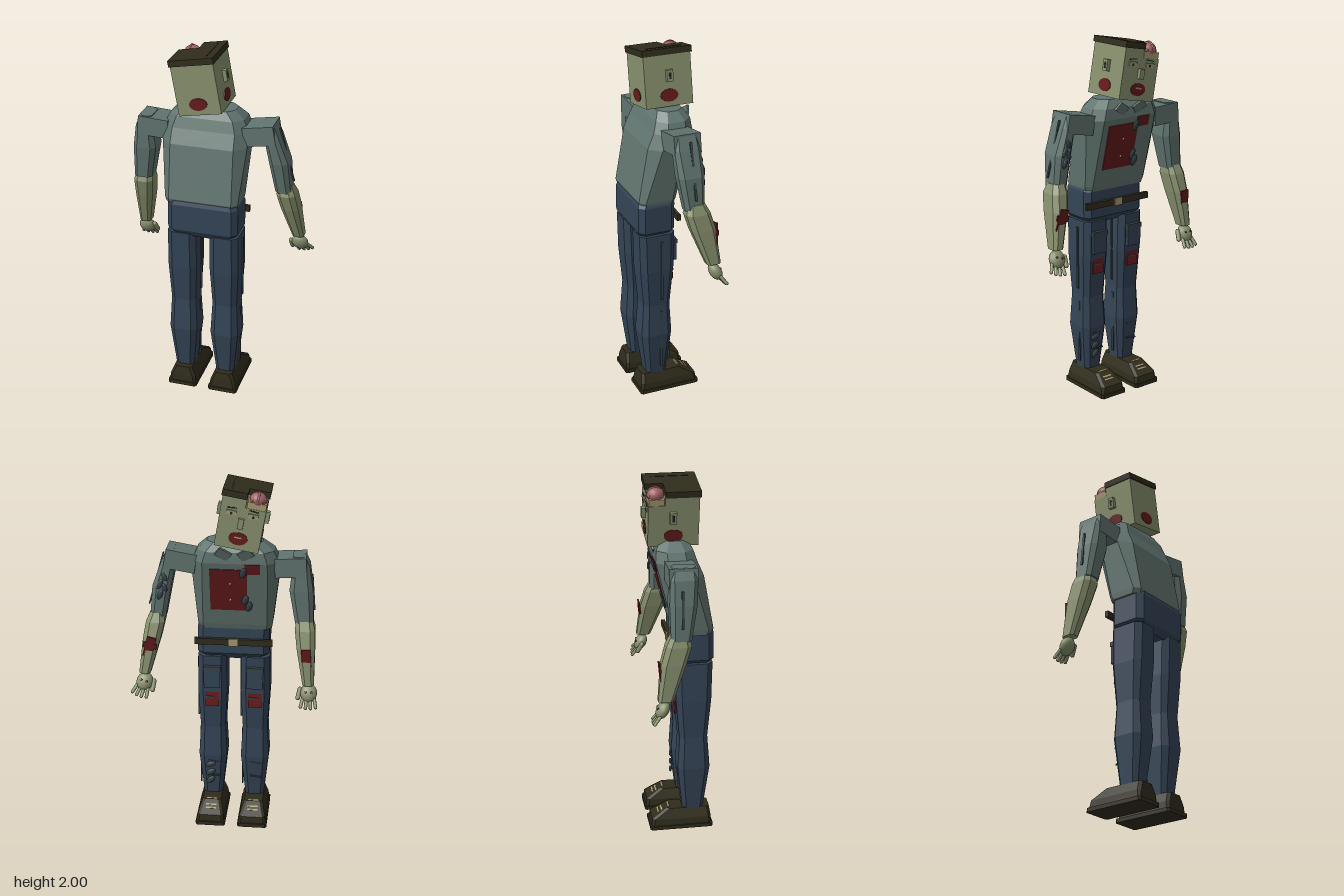
import * as THREE from 'three';

const mat = (name, color) => Object.assign(new THREE.MeshStandardMaterial({ color }), { name });

// Octagonal loft; each ring is [y, x0, x1, z0, z1, chamfer], listed bottom to top
function loft(rings) {
  const loops = rings.map(([y, a, b, c, d, k]) => [
    [b, y, d - k], [b, y, c + k], [b - k, y, c], [a + k, y, c],
    [a, y, c + k], [a, y, d - k], [a + k, y, d], [b - k, y, d]]);
  const pos = [];
  const tri = (...p) => p.forEach(v => pos.push(...v));
  for (let i = 0; i + 1 < loops.length; i++) {
    for (let k = 0; k < 8; k++) {
      const n = (k + 1) % 8, lo = loops[i], hi = loops[i + 1];
      tri(lo[k], lo[n], hi[n]);
      tri(lo[k], hi[n], hi[k]);
    }
  }
  const bottom = loops[0], top = loops[loops.length - 1];
  for (let k = 1; k < 7; k++) {
    tri(top[0], top[k], top[k + 1]);
    tri(bottom[0], bottom[k + 1], bottom[k]);
  }
  const g = new THREE.BufferGeometry();
  g.setAttribute('position', new THREE.Float32BufferAttribute(pos, 3));
  g.computeVertexNormals();
  return g;
}

export function createModel() {
  const model = new THREE.Group();
  model.name = 'undeadFigure';
  const skin = mat('skin', 0x87906d), shirt = mat('shirt', 0x61746f), jeans = mat('jeans', 0x344456);
  const leather = mat('leather', 0x302c1c), wound = mat('wound', 0x651a1c), brain = mat('brain', 0xa06062);
  const bone = mat('bone', 0xa89870), cloth = mat('tornCloth', 0x36434a), dark = mat('dark', 0x20231f);

  const add = (name, geo, m, p = [0, 0, 0], r = [0, 0, 0], parent = model) => {
    const mesh = new THREE.Mesh(geo, m);
    mesh.name = name;
    mesh.position.set(...p);
    mesh.rotation.set(...r);
    parent.add(mesh);
    return mesh;
  };
  const box = (name, m, s, p, r, parent) => add(name, new THREE.BoxGeometry(...s), m, p, r, parent);
  const ball = (name, m, s, p, r, parent) => {
    const b = add(name, new THREE.SphereGeometry(1, 16, 12), m, p, r, parent);
    b.scale.set(...s);
    return b;
  };

  // Torso leaning toward the chest side (-z)
  add('torso', loft([
    [1.17, -.25, .15, -.015, .18, .03], [1.2, -.255, .155, -.025, .19, .03],
    [1.5, -.29, .18, -.10, .135, .06], [1.58, -.288, .178, -.12, .10, .06],
    [1.64, -.26, .15, -.115, .08, .05], [1.685, -.20, .10, -.085, .055, .04]]), shirt);
  const chestZ = y => -.025 - (y - 1.2) * .25;
  box('chestWound', wound, [.2, .26, .008], [-.02, 1.42, chestZ(1.42)], [-.245, 0, 0]);
  box('upperChestWound', wound, [.08, .06, .008], [-.15, 1.55, chestZ(1.55)], [-.245, 0, 0]);
  for (const y of [1.36, 1.46]) ball('button', bone, [.007, .007, .006], [-.03, y, chestZ(y) - .006]);
  for (const [x, y] of [[-.1, 1.53], [-.13, 1.32], [-.11, 1.36]])
    ball('chestTatter', cloth, [.017, .032, .008], [x, y, chestZ(y) - .008], [-.245, 0, .3]);
  for (const s of [-1, 1])
    box('collarFlap', shirt, [.075, .055, .012], [-.055 + s * .06, 1.635, -.125], [-.35, 0, s * .6]);
  add('neck', new THREE.CylinderGeometry(.05, .06, .08, 8), skin, [-.06, 1.68, -.02]);

  // Hips and belt
  add('hips', loft([
    [.98, -.20, .12, .02, .17, .03], [1.02, -.238, .158, -.015, .195, .03],
    [1.17, -.238, .158, -.015, .195, .03], [1.2, -.225, .145, -.005, .185, .03]]), jeans);
  box('belt', leather, [.43, .036, .02], [-.042, 1.095, -.025]);
  box('beltBuckle', bone, [.05, .042, .008], [-.042, 1.095, -.038]);

  // Legs and shoes
  for (const x of [-.162, .078]) {
    add('thigh', loft([
      [.55, x - .07, x + .07, .01, .165, .025], [.78, x - .082, x + .082, -.01, .185, .03],
      [1.0, x - .08, x + .08, -.015, .19, .03]]), jeans);
    add('shin', loft([
      [.1, x - .052, x + .052, .03, .145, .02], [.37, x - .08, x + .08, .0, .18, .03],
      [.57, x - .07, x + .07, .012, .165, .025]]), jeans);
    box('thighSeam', cloth, [.008, .36, .012], [x + .083, .78, .07]);
    box('shinSeam', cloth, [.008, .36, .012], [x + .073, .34, .07]);
    box('pocket', jeans, [.09, .12, .02], [x, .875, -.021]);
    box('pocketFlap', cloth, [.098, .026, .026], [x, .93, -.022]);
    box('thighWound', wound, [.075, .1, .009], [x, .745, -.008], [.08, 0, 0]);
    box('thighTear', cloth, [.05, .01, .009], [x + .01, .75, -.014], [.08, 0, .1]);
    for (const y of [.24, .33]) box('shinTear', cloth, [.07, .008, .008], [x - .01, y, .012 - (y - .2) * .06], [0, 0, .15]);

    const upper = loft([
      [.02, x - .078, x + .078, -.15, .19, .012], [.06, x - .074, x + .074, -.145, .188, .015],
      [.115, x - .052, x + .052, -.06, .18, .015]]);
    add('shoe', upper, leather);
    add('shoeSole', loft([[0, x - .084, x + .084, -.158, .197, .01], [.022, x - .084, x + .084, -.158, .197, .01]]), leather);
    for (let i = 0; i < 4; i++)
      box('shoelace', bone, [.06, .007, .009], [x, .117 - i * .011, -.048 - i * .019], [-.57, 0, 0]);
  }
  for (const y of [.21, .26, .31]) ball('shinTatter', cloth, [.017, .03, .008], [.09, y, .004], [0, 0, y * 4]);

  // Shoulders and upper arms
  box('leftShoulder', shirt, [.17, .105, .15], [.24, 1.57, -.005], [0, 0, .17]);
  box('rightShoulder', shirt, [.17, .105, .15], [-.35, 1.552, -.005], [0, 0, -.06]);
  add('leftSleeve', loft([
    [1.24, .325, .41, -.075, .035, .02], [1.42, .292, .395, -.08, .065, .025],
    [1.56, .265, .345, -.075, .07, .02], [1.63, .275, .315, -.065, .06, .015]]), shirt);
  add('rightSleeve', loft([
    [1.23, -.48, -.38, -.075, .035, .02], [1.42, -.472, -.345, -.08, .065, .025],
    [1.55, -.452, -.36, -.075, .07, .02], [1.61, -.425, -.36, -.065, .06, .015]]), shirt);
  box('leftSleeveSeam', cloth, [.008, .31, .012], [.378, 1.45, -.015], [0, 0, .27]);
  box('rightSleeveSeam', cloth, [.008, .2, .012], [-.474, 1.4, -.015], [0, 0, -.08]);
  for (const y of [1.38, 1.44]) {
    ball('sleeveTatter', cloth, [.014, .03, .008], [.35, y, -.082], [0, 0, .4]);
    ball('sleeveTatter', cloth, [.012, .025, .008], [.325, y + .04, -.08], [0, 0, -.4]);
  }

  // Forearms and their wounds
  add('leftForearm', loft([
    [.935, .405, .468, -.145, -.065, .015], [1.13, .35, .447, -.125, .01, .025],
    [1.22, .33, .432, -.10, .035, .025], [1.27, .335, .41, -.075, .02, .02]]), skin);
  add('rightForearm', loft([
    [.9, -.492, -.43, -.145, -.065, .015], [1.1, -.492, -.393, -.128, .005, .025],
    [1.2, -.488, -.38, -.10, .035, .025], [1.25, -.475, -.385, -.075, .02, .02]]), skin);
  box('leftForearmWound', wound, [.05, .12, .009], [.408, 1.09, -.129], [-.1, 0, .26]);
  box('leftForearmGash', wound, [.075, .03, .009], [.405, 1.1, -.13], [-.1, 0, .2]);
  box('rightForearmWound', wound, [.05, .1, .009], [-.447, 1.06, -.131], [-.085, 0, -.08]);

  // Hands with four fingers and a thumb toward the body
  const hand = (name, s, p, r) => {
    const h = new THREE.Group();
    h.name = name;
    h.position.set(...p);
    h.rotation.set(...r);
    model.add(h);
    ball('palm', skin, [.046, .052, .033], [0, 0, 0], [0, 0, 0], h);
    for (let i = 0; i < 4; i++) {
      const t = i - 1.5;
      add('finger', new THREE.CapsuleGeometry(.0095, .055, 3, 8), skin,
        [t * .024, -.062 + Math.abs(t) * .006, -.006], [.15, 0, t * .13], h);
    }
    add('thumb', new THREE.CapsuleGeometry(.013, .05, 3, 8), skin, [-s * .053, -.005, 0], [0, 0, -s * .2], h);
    for (const x of [-.016, .016]) ball('knuckleScab', wound, [.006, .006, .004], [x, 0, -.031], [0, 0, 0], h);
  };
  hand('leftHand', 1, [.44, .88, -.12], [.5, 0, .32]);
  hand('rightHand', -1, [-.465, .85, -.12], [.5, 0, 0]);

  // Tilted head, with the upper corner on the face side missing
  const head = new THREE.Group();
  head.name = 'head';
  head.position.set(-.093, 1.827, -.022);
  head.rotation.z = .175;
  model.add(head);
  const slab = (name, m, w, d, y, h) => {
    const shape = new THREE.Shape([[-w, -d], [w, -d], [w, d], [-.01, d], [-.01, .045], [-w, .045]]
      .map(q => new THREE.Vector2(...q)));
    add(name, new THREE.ExtrudeGeometry(shape, { depth: h, bevelEnabled: false }), m, [0, y, 0], [-Math.PI / 2, 0, 0], head);
  };
  box('skullLower', skin, [.236, .23, .268], [0, -.04, 0], [0, 0, 0], head);
  slab('skullUpper', skin, .118, .134, .075, .045);
  slab('hair', leather, .124, .141, .12, .034);
  box('hairSeam', dark, [.006, .004, .2], [.08, .154, 0], [0, 0, 0], head);
  box('brokenSkull', bone, [.1, .035, .082], [-.065, .092, -.09], [0, 0, 0], head);
  ball('brain', brain, [.046, .04, .046], [-.066, .12, -.092], [0, 0, 0], head);
  for (let i = -2; i <= 2; i++)
    add('brainFold', new THREE.TorusGeometry(.042, .006, 6, 14, Math.PI), brain,
      [-.066 + i * .014, .118 - Math.abs(i) * .004, -.094], [0, Math.PI / 2, 0], head)
      .scale.setScalar(1 - Math.abs(i) * .12);

  // Ragged oval wounds on all four sides
  const turns = [[0, .135], [Math.PI / 2, .119], [Math.PI, .135], [-Math.PI / 2, .119]];
  for (const [a, d] of turns) {
    const disc = add('faceWound', new THREE.CylinderGeometry(1, 1, 1, 20), wound,
      [Math.sin(a) * d, -.095, Math.cos(a) * d], [0, 0, 0], head);
    disc.rotation.set(Math.PI / 2, 0, -a, 'YXZ');
    disc.rotation.set(Math.PI / 2, a, 0, 'YXZ');
    disc.scale.set(.05, .006, .034);
  }
  // Ears, eyes, brows and nose
  for (const s of [-1, 1]) {
    box('ear', skin, [.026, .062, .036], [s * .126, .01, -.004], [0, 0, 0], head);
    box('innerEar', dark, [.004, .034, .012], [s * .1385, .01, -.004], [0, 0, 0], head);
    box('eye', bone, [.05, .018, .006], [s * .058, .035, -.135], [0, 0, 0], head);
    box('pupil', dark, [.012, .012, .006], [s * .058, .034, -.137], [0, 0, 0], head);
    box('eyelid', skin, [.056, .008, .01], [s * .058, .047, -.137], [0, 0, 0], head);
    box('brow', dark, [.05, .006, .006], [s * .058, .064, -.135], [0, 0, -s * .1], head);
  }
  box('nose', skin, [.03, .055, .024], [0, -.01, -.143], [0, 0, 0], head);
  box('teeth', bone, [.04, .008, .004], [0, -.088, -.139], [0, 0, 0], head);
  return model;
}
